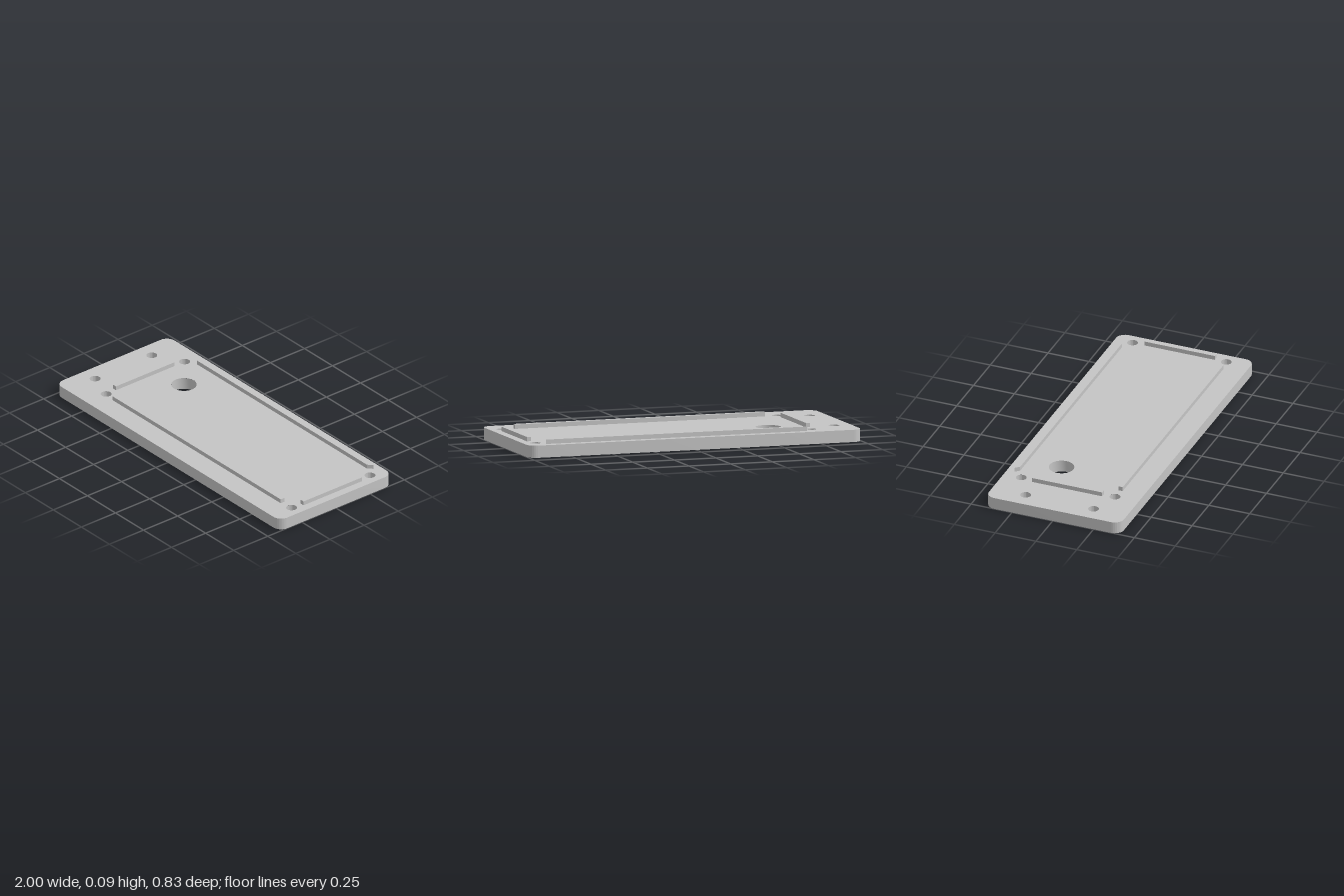
import * as THREE from 'three';
import { toCreasedNormals } from 'three/addons/utils/BufferGeometryUtils.js';

const W = 1, D = 0.413, R = 0.055;         // half width, half depth, corner radius
const H = 0.07, RIDGE_TOP = 0.095, BORE = 0.035;
const SEG = 32;

// x, z, radius on top, radius underneath
const HOLES = [
  [-0.528, -0.14, 0.072, 0.072],
  [-0.898, -0.208, 0.031, 0.031], [-0.898, 0.207, 0.031, 0.031],
];
for (const x of [-0.725, 0.929]) for (const z of [-0.306, 0.268]) HOLES.push([x, z, 0.031, 0.057]);

// Rounded plate outline, drawn with y = -z
function outline() {
  const s = new THREE.Shape();
  s.absarc(W - R, D - R, R, 0, Math.PI / 2);
  s.absarc(-W + R, D - R, R, Math.PI / 2, Math.PI);
  s.absarc(-W + R, -D + R, R, Math.PI, Math.PI * 1.5);
  s.absarc(W - R, -D + R, R, Math.PI * 1.5, Math.PI * 2);
  s.closePath();
  return s;
}

// Flat plate face pierced by the holes
function face(radiusIndex) {
  const s = outline();
  for (const h of HOLES) {
    const p = new THREE.Path();
    p.absarc(h[0], -h[1], h[radiusIndex], 0, Math.PI * 2, true);
    s.holes.push(p);
  }
  return new THREE.ShapeGeometry(s, SEG).rotateX(-Math.PI / 2);
}

// The same face turned to look down
function underside() {
  const g = face(3);
  const idx = g.index.array;
  for (let i = 0; i < idx.length; i += 3) [idx[i], idx[i + 1]] = [idx[i + 1], idx[i]];
  g.computeVertexNormals();
  return g;
}

// Outer wall: the sides of an extrusion, without its caps
function wall() {
  const g = new THREE.ExtrudeGeometry(outline(), { depth: H, bevelEnabled: false, curveSegments: SEG });
  const side = g.groups[1];
  const pos = g.attributes.position.array.slice(side.start * 3, (side.start + side.count) * 3);
  const out = new THREE.BufferGeometry();
  out.setAttribute('position', new THREE.BufferAttribute(pos, 3));
  return toCreasedNormals(out.rotateX(-Math.PI / 2), 0.6);
}

// Inside of a hole, stepped where the underside is counterbored
function holeWall(r, big) {
  const pts = big > r
    ? [[r, H], [r, BORE], [big, BORE], [big, 0]]
    : [[r, H], [r, 0]];
  const g = new THREE.LatheGeometry(pts.map(p => new THREE.Vector2(...p)), SEG);
  return toCreasedNormals(g, 0.6);
}

// Raised strip from a plan polygon of [x, z] corners
function ridge(corners) {
  const s = new THREE.Shape(corners.map(([x, z]) => new THREE.Vector2(x, -z)));
  return new THREE.ExtrudeGeometry(s, { depth: RIDGE_TOP - H, bevelEnabled: false })
    .rotateX(-Math.PI / 2).translate(0, H, 0);
}
const rect = (x0, x1, z0, z1) => [[x0, z1], [x1, z1], [x1, z0], [x0, z0]];

export function createModel() {
  const model = new THREE.Group();
  model.name = 'mountingPlate';
  const grey = new THREE.MeshStandardMaterial({ color: 0xc4c4c4 });
  grey.name = 'lightGrey';
  const add = (name, geometry) => {
    const m = new THREE.Mesh(geometry, grey);
    m.name = name;
    model.add(m);
    return m;
  };

  // Plate
  add('plateTop', face(2)).position.y = H;
  add('plateBottom', underside());
  add('plateEdge', wall());

  // Holes
  for (const [x, z, r, big] of HOLES) {
    add(big > r ? 'counterboredHole' : 'hole', holeWall(r, big)).position.set(x, 0, z);
  }

  // Locating ridges, the back one with mitred ends
  add('frontRidge', ridge(rect(-0.649, 0.852, 0.257, 0.284)));
  add('backRidge', ridge([[-0.655, -0.341], [0.86, -0.341], [0.885, -0.367], [-0.68, -0.367]]));
  add('rightRidge', ridge(rect(-0.748, -0.722, -0.231, 0.199)));
  add('leftRidge', ridge(rect(0.926, 0.952, -0.231, 0.199)));
  return model;
}
